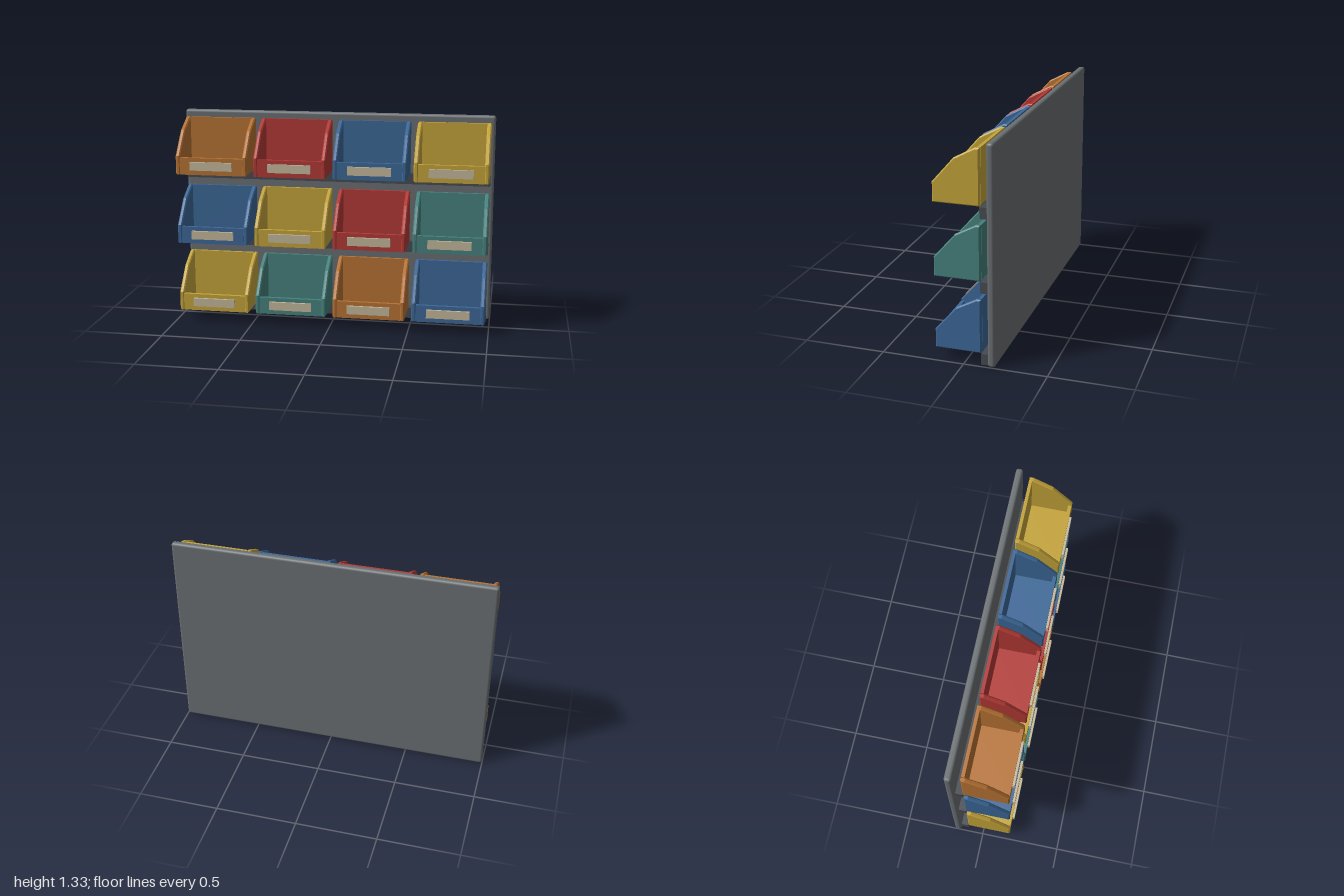
import * as THREE from 'three';
import { RoundedBoxGeometry } from 'three/addons/geometries/RoundedBoxGeometry.js';

const mat = (name, color) => {
  const m = new THREE.MeshStandardMaterial({ color });
  m.name = name;
  return m;
};

const WIDTH = 0.456, WALL = 0.028, HEIGHT = 0.332, BACK = -0.1, FRONT = 0.178;

function add(parent, name, geometry, material, x, y, z) {
  const mesh = new THREE.Mesh(geometry, material);
  mesh.name = name;
  mesh.position.set(x, y, z);
  parent.add(mesh);
  return mesh;
}

// Side cheek: sloped outline drawn in (z, y), extruded with a small bevel along x
function cheekGeometry() {
  const outline = [[BACK, 0], [FRONT, 0], [FRONT, 0.118], [0.05, 0.265], [-0.075, HEIGHT], [BACK, HEIGHT]];
  const bevel = 0.007;
  const shape = new THREE.Shape(outline.map(([z, y]) => new THREE.Vector2(-z, y)));
  const g = new THREE.ExtrudeGeometry(shape, {
    depth: WALL - 2 * bevel, bevelEnabled: true, bevelSize: bevel,
    bevelThickness: bevel, bevelOffset: -bevel, bevelSegments: 1,
  });
  g.translate(0, 0, bevel - WALL / 2);
  g.rotateY(Math.PI / 2); // outline -z becomes world z
  return g;
}

export function createModel() {
  const group = new THREE.Group();
  group.name = 'wallBinRack';

  const panelGrey = mat('panel grey', 0x6a6f72);
  const railGrey = mat('rail dark grey', 0x464a50);
  const labelCream = mat('label cream', 0xc6ba9d);
  const orange = mat('bin orange', 0xb87333);
  const red = mat('bin red', 0xb33935);
  const blue = mat('bin blue', 0x3c6898);
  const yellow = mat('bin yellow', 0xc4a43a);
  const teal = mat('bin teal', 0x46827e);

  // Back panel
  add(group, 'backPanel', new RoundedBoxGeometry(2, 1.33, 0.044, 3, 0.017), panelGrey, 0, 0.665, -0.167);

  // Geometries shared by every bin
  const inner = WIDTH - 2 * WALL + 0.004;
  const cheek = cheekGeometry();
  const floor = new THREE.BoxGeometry(inner, 0.02, FRONT - BACK - 0.006);
  const back = new THREE.BoxGeometry(inner, HEIGHT - 0.002, 0.02);
  const lip = new THREE.BoxGeometry(inner, 0.108, 0.022);
  const label = new THREE.BoxGeometry(0.27, 0.053, 0.018);
  const rail = new THREE.BoxGeometry(1.955, 0.068, 0.047);

  function makeBin(material) {
    const bin = new THREE.Group();
    bin.name = 'bin';
    for (const s of [-1, 1]) {
      add(bin, s > 0 ? 'leftCheek' : 'rightCheek', cheek, material, s * (WIDTH - WALL) / 2, 0, 0);
    }
    add(bin, 'floor', floor, material, 0, 0.01, (FRONT + BACK) / 2);
    add(bin, 'backWall', back, material, 0, HEIGHT / 2, BACK + 0.01);
    add(bin, 'frontLip', lip, material, 0, 0.054, FRONT - 0.013);
    add(bin, 'labelPlate', label, labelCream, 0, 0.057, 0.181);
    return bin;
  }

  // Rows from bottom to top, each a rail with four bins
  const rows = [
    [0.07, [yellow, teal, orange, blue]],
    [0.515, [blue, yellow, red, teal]],
    [0.959, [orange, red, blue, yellow]],
  ];
  for (const [y, colours] of rows) {
    add(group, 'rail', rail, railGrey, 0, y - 0.035, -0.1225);
    colours.forEach((material, i) => {
      const bin = makeBin(material);
      bin.position.set((i - 1.5) * 0.499, y, 0);
      group.add(bin);
    });
  }
  return group;
}
